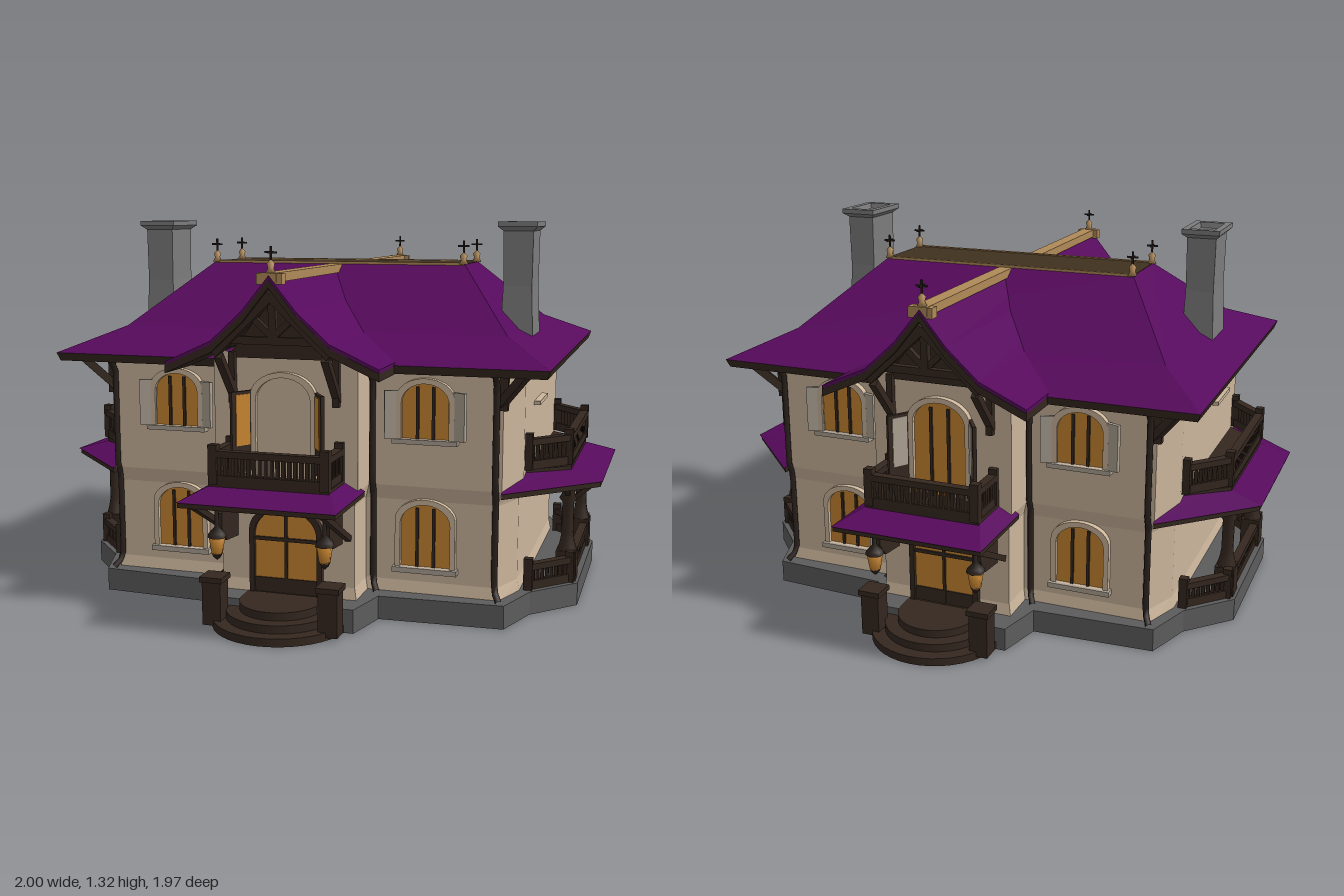
import * as THREE from 'three';

const mat = (name, color, side = THREE.FrontSide) => {
  const m = new THREE.MeshStandardMaterial({ color, side });
  m.name = name;
  return m;
};

export function createModel() {
  const purple = mat('purple roof tiles', 0x560a5c), wood = mat('dark wood', 0x34271f);
  const plaster = mat('cream plaster', 0xcbb59b), glass = mat('amber glass', 0xc68430);
  const stone = mat('plinth stone', 0x5c5c5d), brick = mat('chimney stone', 0x7c7c7c);
  const gold = mat('tan ridge', 0xb08a58), pale = mat('pale shutter', 0xada294);
  const deck = mat('roof deck', 0x40311f), iron = mat('iron', 0x2a211d);
  const house = new THREE.Group();
  house.name = 'house';

  const add = (p, name, geo, m, x = 0, y = 0, z = 0) => {
    const o = new THREE.Mesh(geo, m);
    o.name = name;
    o.position.set(x, y, z);
    p.add(o);
    return o;
  };
  const box = (p, name, m, w, h, d, x, y, z) => add(p, name, new THREE.BoxGeometry(w, h, d), m, x, y, z);
  const beam = (p, name, m, a, b, w = 0.02, h = w) => {
    const A = new THREE.Vector3(...a), B = new THREE.Vector3(...b);
    const o = new THREE.Mesh(new THREE.BoxGeometry(w, h, A.distanceTo(B)), m);
    o.name = name;
    o.position.copy(A).lerp(B, 0.5);
    o.lookAt(B);
    p.add(o);
  };
  const lathe = (p, name, m, pts, x, y, z, n = 10) =>
    add(p, name, new THREE.LatheGeometry(pts.map(q => new THREE.Vector2(...q)), n), m, x, y, z);
  const extrude = (shape, depth) => new THREE.ExtrudeGeometry(shape, { depth, bevelEnabled: false, curveSegments: 10 });
  const poly = pts => new THREE.Shape(pts.map(q => new THREE.Vector2(...q)));
  // Vertical prism over an [x, z] outline
  const slab = (p, name, m, pts, y0, y1) => {
    const g = extrude(poly(pts.map(([x, z]) => [x, -z])), y1 - y0);
    return add(p, name, g.rotateX(-Math.PI / 2), m, 0, y0, 0);
  };
  // Faceted skin between stacked [x, z] rings; each ring is [points, y]
  const skin = (p, name, m, rings) => {
    const v = [];
    for (let r = 0; r + 1 < rings.length; r++) {
      const [A, ya] = rings[r], [B, yb] = rings[r + 1];
      A.forEach((a, i) => {
        const j = (i + 1) % A.length;
        const q = [[a[0], ya, a[1]], [A[j][0], ya, A[j][1]], [B[j][0], yb, B[j][1]], [B[i][0], yb, B[i][1]]];
        for (const k of [0, 1, 2, 0, 2, 3]) v.push(...q[k]);
      });
    }
    const g = new THREE.BufferGeometry();
    g.setAttribute('position', new THREE.Float32BufferAttribute(v, 3));
    g.computeVertexNormals();
    return add(p, name, g, m);
  };
  // Full outline mirrored from the front-left quarter
  const sym = q => {
    const r = [...q].reverse();
    return [...q, ...r.map(([x, z]) => [x, -z]), ...q.map(([x, z]) => [-x, -z]), ...r.map(([x, z]) => [-x, z])];
  };
  const rect = (x, z) => [[x, z], [x, -z], [-x, -z], [-x, z]];
  const archPath = (s, w, h, rise) => {
    s.moveTo(-w / 2, 0);
    s.lineTo(w / 2, 0);
    s.lineTo(w / 2, h - rise);
    s.absellipse(0, h - rise, w / 2, rise, 0, Math.PI, false);
    s.lineTo(-w / 2, 0);
    return s;
  };
  // Arched opening: raised frame, glass plate and glazing bars
  const arch = (p, name, x, y, z, w, h, frame, pane = glass, bars = 2) => {
    const g = new THREE.Group();
    g.name = name;
    g.position.set(x, y, z);
    const s = archPath(new THREE.Shape(), w + 0.036, h + 0.018, w * 0.42);
    s.holes.push(archPath(new THREE.Path(), w, h, w * 0.4));
    add(g, 'frame', extrude(s, 0.022), frame);
    add(g, 'pane', extrude(archPath(new THREE.Shape(), w, h, w * 0.4), 0.008), pane);
    for (let i = 1; i <= bars; i++) box(g, 'glazingBar', wood, 0.01, h * 0.94, 0.014, -w / 2 + i * w / (bars + 1), h * 0.47, 0.008);
    p.add(g);
  };
  // Balustrade along an [x, z] path
  const railing = (p, name, pts, y, h) => {
    const g = new THREE.Group();
    g.name = name;
    pts.forEach(([x, z], i) => {
      box(g, 'railPost', wood, 0.03, h + 0.02, 0.03, x, y + h / 2 + 0.01, z);
      if (!i) return;
      const [a, b] = pts[i - 1], n = Math.round(Math.hypot(x - a, z - b) / 0.02);
      beam(g, 'topRail', wood, [a, y + h - 0.01, b], [x, y + h - 0.01, z], 0.03, 0.022);
      beam(g, 'bottomRail', wood, [a, y + 0.015, b], [x, y + 0.015, z], 0.02, 0.03);
      for (let k = 1; k < n; k++) box(g, 'baluster', wood, 0.012, h - 0.02, 0.012, a + (x - a) * k / n, y + h / 2, b + (z - b) * k / n);
    });
    p.add(g);
  };

  // Plinth and walls, the upper floor slightly wider
  slab(house, 'plinth', stone, sym([[0.26, 0.78], [0.3, 0.62], [0.72, 0.6], [0.78, 0.43], [0.925, 0.28]]), 0, 0.08);
  const wall = d => sym([[0.235 + d, 0.68 + d], [0.235 + d, 0.545 + d], [0.685 + d, 0.545 + d], [0.735 + d, 0.42]]);
  skin(house, 'walls', plaster, [[wall(0.01), 0.07], [wall(0), 0.12], [wall(0), 0.4], [wall(0.015), 0.45], [wall(0.015), 0.9]]);

  // Main hipped roof with a flared eave and flat deck
  const eave = rect(0.86, 0.665);
  skin(house, 'mainRoof', purple, [[eave, 0.868], [rect(0.69, 0.45), 0.95], [rect(0.48, 0.13), 1.17]]);
  skin(house, 'eaveSoffit', wood, [[rect(0.6, 0.45), 0.89], [rect(0.85, 0.655), 0.84], [eave, 0.868]]);
  slab(house, 'roofDeck', deck, rect(0.48, 0.13), 1.155, 1.172);
  for (const s of [-1, 1]) box(house, 'deckRidge', gold, 0.96, 0.012, 0.014, 0, 1.17, s * 0.128);

  // Cross gable: tiles above, dark boards below
  const half = [[0, 1.15], [0.09, 1.04], [0.2, 0.94], [0.36, 0.868]];
  const band = (top, bottom) => {
    const line = [...half.map(([x, y]) => [-x, y]).reverse(), ...half.slice(1)];
    return poly([...line.map(([x, y]) => [x, y + top]), ...line.reverse().map(([x, y]) => [x, y + bottom])]);
  };
  add(house, 'gableTiles', extrude(band(0.008, -0.004), 1.68), purple, 0, 0, -0.84);
  add(house, 'gableBoards', extrude(band(-0.004, -0.03), 1.684), wood, 0, 0, -0.842);

  const finial = (p, x, y, z) => {
    lathe(p, 'finialBase', gold, [[0, 0], [0.018, 0], [0.01, 0.015], [0.014, 0.03], [0, 0.045]], x, y, z, 8);
    box(p, 'finialRod', iron, 0.006, 0.05, 0.006, x, y + 0.06, z);
    box(p, 'finialBar', iron, 0.04, 0.006, 0.006, x, y + 0.065, z);
    box(p, 'finialBar', iron, 0.006, 0.006, 0.04, x, y + 0.065, z);
  };

  // Front and back facades share one design
  const facade = open => {
    const g = new THREE.Group();
    g.name = open ? 'frontFacade' : 'backFacade';
    // Ridge and gable truss
    box(g, 'gableRidge', gold, 0.05, 0.03, 0.7, 0, 1.152, 0.485);
    box(g, 'ridgeEnd', gold, 0.085, 0.035, 0.035, 0, 1.148, 0.815);
    finial(g, 0, 1.165, 0.815);
    add(g, 'gableWall', extrude(poly([[-0.2, 0.88], [0.2, 0.88], [0.08, 1.03], [0, 1.12], [-0.08, 1.03]]), 0.01), wood, 0, 0, 0.69);
    beam(g, 'collarBeam', wood, [-0.17, 0.95, 0.8], [0.17, 0.95, 0.8], 0.025);
    beam(g, 'kingPost', wood, [0, 0.94, 0.8], [0, 1.12, 0.8], 0.025);
    // Steps and entrance
    for (let i = 0; i < 3; i++) {
      const r = 0.23 - i * 0.045;
      const c = new THREE.CylinderGeometry(r, r, 0.027 * (i + 1), 20, 1, false, -Math.PI / 2, Math.PI);
      add(g, 'entranceStep', c, wood, 0, 0.0135 * (i + 1), 0.745);
      box(g, 'stepBack', wood, r * 2, 0.027 * (i + 1), 0.08, 0, 0.0135 * (i + 1), 0.71);
    }
    arch(g, 'entranceDoor', 0, 0.085, 0.684, 0.22, 0.29, wood, glass, 1);
    box(g, 'doorRail', wood, 0.22, 0.012, 0.014, 0, 0.27, 0.692);
    box(g, 'doorPanel', wood, 0.22, 0.05, 0.012, 0, 0.11, 0.691);
    // Porch canopy and balcony
    const porch = (x, z) => [[x, z], [x, 0.66], [-x, 0.66], [-x, z]];
    skin(g, 'porchRoof', purple, [[porch(0.265, 0.985), 0.447], [porch(0.2, 0.84), 0.482]]);
    slab(g, 'porchSoffit', wood, porch(0.262, 0.98), 0.43, 0.447);
    slab(g, 'balconyFloor', wood, porch(0.205, 0.86), 0.447, 0.49);
    railing(g, 'balconyRailing', [[0.19, 0.7], [0.19, 0.85], [-0.19, 0.85], [-0.19, 0.7]], 0.485, 0.11);
    arch(g, 'balconyDoor', 0, 0.49, 0.697, 0.19, 0.33, plaster, open ? plaster : glass, open ? 0 : 2);
    for (const s of [-1, 1]) {
      const leaf = new THREE.Group();
      leaf.name = 'balconyDoorLeaf';
      box(leaf, 'leafFrame', wood, 0.085, 0.27, 0.012, s * 0.045, 0, 0);
      for (const f of [-1, 1]) box(leaf, 'leafGlass', open ? glass : pale, 0.055, 0.17, 0.004, s * 0.045, 0.04, f * 0.007);
      leaf.position.set(s * 0.11, 0.64, 0.705);
      leaf.rotation.y = -s * 1.0;
      g.add(leaf);
      // Truss diagonals and gable brackets
      beam(g, 'trussStrut', wood, [0, 0.96, 0.8], [s * 0.075, 1.03, 0.8], 0.02);
      beam(g, 'gableRafter', wood, [0, 1.1, 0.815], [s * 0.2, 0.91, 0.815], 0.03, 0.04);
      beam(g, 'gableBracket', wood, [s * 0.18, 0.75, 0.69], [s * 0.18, 0.9, 0.82], 0.025);
      beam(g, 'bracketPost', wood, [s * 0.18, 0.73, 0.705], [s * 0.18, 0.9, 0.705], 0.022);
      // Canopy bracket, lantern and step pedestal
      beam(g, 'canopyBracket', wood, [s * 0.215, 0.29, 0.685], [s * 0.215, 0.435, 0.96], 0.02);
      add(g, 'canopyPanel', extrude(poly([[0, 0.27], [-0.1, 0.28], [-0.14, 0.33], [-0.14, 0.38], [-0.08, 0.435], [0, 0.435]]), 0.02).rotateY(Math.PI / 2), wood, s * 0.185 - 0.01, 0, 0.685);
      lathe(g, 'lanternGlass', glass, [[0, 0], [0.018, 0], [0.027, 0.055], [0, 0.055]], s * 0.185, 0.25, 0.845, 6);
      lathe(g, 'lanternCap', iron, [[0.032, 0], [0.028, 0.015], [0.008, 0.035], [0.006, 0.13]], s * 0.185, 0.305, 0.845, 6);
      lathe(g, 'lanternTip', iron, [[0, 0], [0.012, 0.01], [0.019, 0.025]], s * 0.185, 0.228, 0.845, 6);
      box(g, 'pedestal', wood, 0.065, 0.15, 0.065, s * 0.2, 0.085, 0.835);
      box(g, 'pedestalCap', wood, 0.078, 0.018, 0.078, s * 0.2, 0.165, 0.835);
      // Windows with sills and shutters
      arch(g, 'lowerWindow', s * 0.445, 0.175, 0.545, 0.17, 0.215, plaster);
      box(g, 'lowerSill', pale, 0.22, 0.018, 0.035, s * 0.445, 0.165, 0.56);
      arch(g, 'upperWindow', s * 0.445, 0.615, 0.56, 0.16, 0.185, plaster);
      box(g, 'upperSill', pale, 0.22, 0.016, 0.035, s * 0.445, 0.607, 0.575);
      for (const t of [-1, 1]) {
        const sh = box(g, 'shutter', pale, 0.06, 0.16, 0.014, s * 0.445 + t * 0.108, 0.695, 0.578);
        sh.rotation.y = -t * 0.35;
      }
      // Drainpipes and eave brackets
      for (const x of [0.265, 0.68]) {
        const path = [[x, 0.85, 0.62], [x, 0.8, 0.575], [x, 0.47, 0.575], [x, 0.42, 0.558], [x, 0.12, 0.558], [x + 0.02, 0.085, 0.59]];
        const curve = new THREE.CatmullRomCurve3(path.map(q => new THREE.Vector3(s * q[0], q[1], q[2])), false, 'catmullrom', 0.1);
        add(g, 'drainpipe', new THREE.TubeGeometry(curve, 24, 0.011, 6), iron);
      }
      beam(g, 'eaveBracket', wood, [s * 0.69, 0.74, 0.55], [s * 0.78, 0.85, 0.62], 0.028);
      beam(g, 'eaveBracketPost', wood, [s * 0.7, 0.72, 0.55], [s * 0.7, 0.85, 0.55], 0.028);
      finial(g, s * 0.475, 1.17, 0.125);
    }
    return g;
  };
  house.add(facade(true));
  const back = facade(false);
  back.rotation.y = Math.PI;
  house.add(back);

  // Side verandas
  for (const s of [0, 1]) {
    const g = new THREE.Group();
    g.name = s ? 'rightVeranda' : 'leftVeranda';
    const bay = (x, z, c) => [[0.7, z + c], [x, z], [x, -z], [0.7, -z - c]];
    skin(g, 'verandaRoof', purple, [[bay(1, 0.29, 0.29), 0.447], [bay(0.86, 0.25, 0.16), 0.485]]);
    slab(g, 'verandaSoffit', wood, bay(0.993, 0.287, 0.285), 0.428, 0.447);
    slab(g, 'upperDeck', wood, bay(0.89, 0.26, 0.16), 0.455, 0.49);
    railing(g, 'upperRailing', [[0.76, 0.39], [0.88, 0.26], [0.88, -0.26], [0.76, -0.39]], 0.495, 0.105);
    railing(g, 'lowerRailing', [[0.77, 0.4], [0.895, 0.27], [0.895, -0.27], [0.77, -0.4]], 0.08, 0.09);
    for (const z of [-0.23, 0.23]) {
      box(g, 'columnBase', wood, 0.07, 0.11, 0.07, 0.88, 0.13, z);
      lathe(g, 'column', wood, [[0.034, 0], [0.026, 0.03], [0.021, 0.06], [0.021, 0.17], [0.032, 0.185], [0.022, 0.2], [0.036, 0.25]], 0.88, 0.185, z);
      beam(g, 'columnBracket', wood, [0.89, 0.36, z], [0.97, 0.43, z], 0.016);
      for (const t of [-1, 1]) beam(g, 'columnBracket', wood, [0.88, 0.37, z], [0.88, 0.43, z + t * 0.06], 0.016);
    }
    // Wall ledges by the flue
    for (const y of [0.695, 0.785]) box(g, 'wallLedge', plaster, 0.03, 0.014, 0.2, 0.757, y, s ? -0.11 : 0.11);
    g.rotation.y = s * Math.PI;
    house.add(g);

    // Chimney with a flared rim
    const x = s ? -0.68 : 0.68, ch = new THREE.Group();
    ch.name = 'chimney';
    const ring = (w, d) => rect(w, d);
    skin(ch, 'chimneyShaft', brick, [[ring(0.057, 0.09), 0.92], [ring(0.05, 0.083), 1.1], [ring(0.052, 0.085), 1.29], [ring(0.068, 0.108), 1.305], [ring(0.068, 0.108), 1.322], [ring(0.045, 0.08), 1.322], [ring(0.04, 0.075), 1.3]]);
    slab(ch, 'chimneyMouth', brick, rect(0.042, 0.077), 1.28, 1.302);
    ch.position.set(x, 0, 0.11);
    house.add(ch);
  }
  return house;
}
